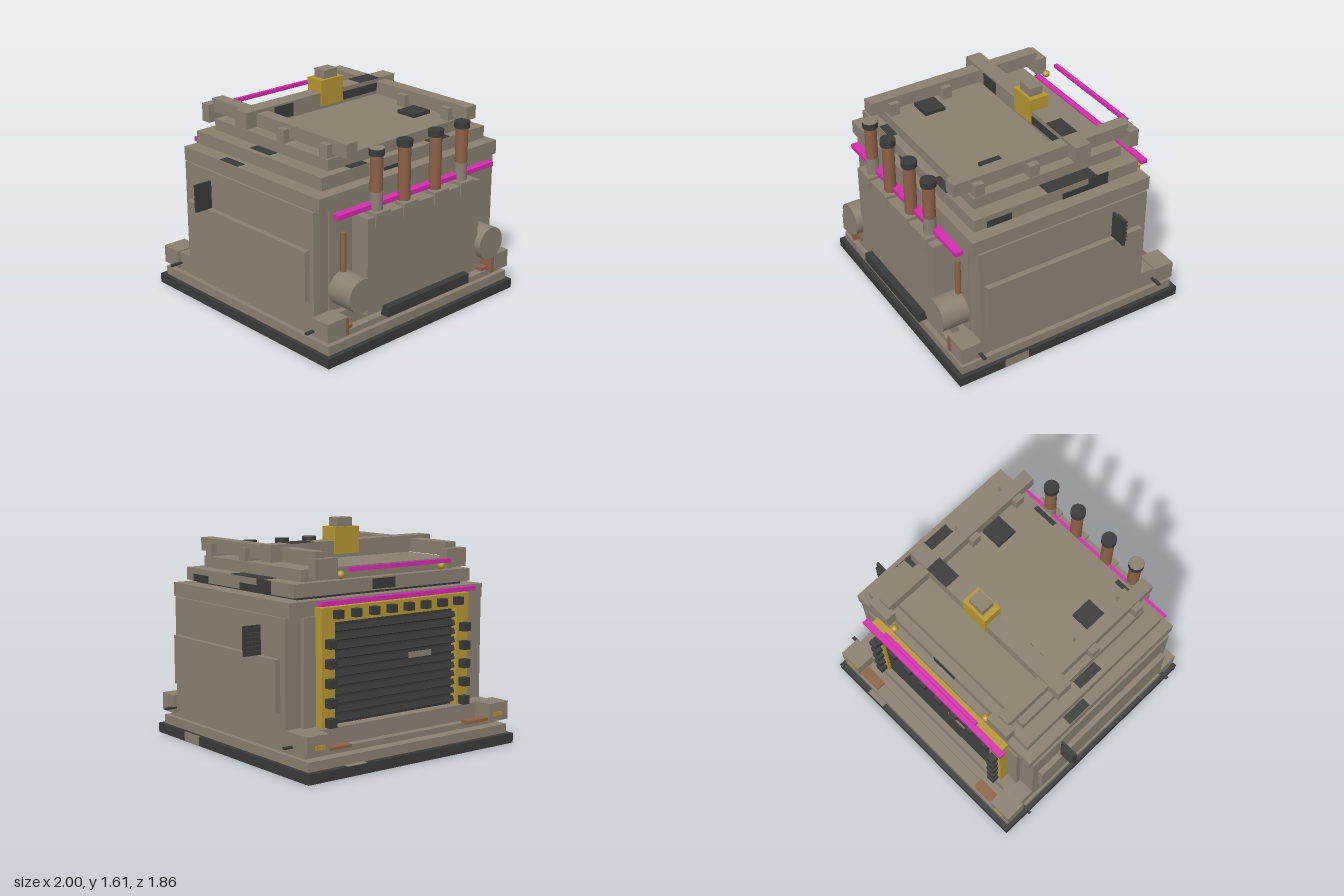
import * as THREE from 'three';

const mat = (name, color) => {
  const m = new THREE.MeshStandardMaterial({ color });
  m.name = name;
  return m;
};

export function createModel() {
  const model = new THREE.Group();
  model.name = 'engineBlock';
  const stone = mat('warmGrey', 0x8a8071);
  const dark = mat('charcoal', 0x3a3a3a);
  const gold = mat('brass', 0xb59632);
  const copper = mat('copper', 0x8c6046);
  const pink = mat('magenta', 0xd42cae);

  const add = (name, geo, material, x, y, z) => {
    const mesh = new THREE.Mesh(geo, material);
    mesh.name = name;
    mesh.position.set(x, y, z);
    model.add(mesh);
    return mesh;
  };
  // box from its minimum and maximum on each axis
  const box = (name, m, x0, x1, y0, y1, z0, z1) =>
    add(name, new THREE.BoxGeometry(x1 - x0, y1 - y0, z1 - z0), m, (x0 + x1) / 2, (y0 + y1) / 2, (z0 + z1) / 2);
  const cyl = (name, m, r, h, x, y, z) =>
    add(name, new THREE.CylinderGeometry(r, r, h, 24), m, x, y, z);
  // mirrored pair of boxes on both sides
  const pair = (name, m, x0, x1, ...rest) => {
    box(name + 'Left', m, x0, x1, ...rest);
    box(name + 'Right', m, -x1, -x0, ...rest);
  };

  // Stepped base
  box('baseSlab', dark, -0.91, 0.91, 0, 0.07, -0.93, 0.9);
  box('lowerStep', stone, -0.88, 0.88, 0.07, 0.135, -0.89, 0.865);
  box('upperStep', stone, -0.845, 0.845, 0.135, 0.175, -0.81, 0.83);
  box('skirt', stone, -0.865, 0.865, 0.175, 0.29, -0.75, 0.77);

  // Body with side, front and back panels
  box('body', stone, -0.865, 0.865, 0.29, 1.02, -0.625, 0.71);
  box('frontPanel', stone, -0.74, 0.74, 0.29, 1.02, 0.71, 0.725);
  box('backPanel', stone, -0.74, 0.74, 0.29, 1.02, -0.66, -0.625);
  pair('sidePanel', stone, 0.865, 0.905, 0.4, 0.75, -0.57, 0.67);

  // Stepped roof
  box('cornice', stone, -0.85, 0.85, 1.02, 1.12, -0.65, 0.75);
  box('roofGap', dark, -0.72, 0.72, 1.12, 1.14, -0.56, 0.65);
  box('roofTier', stone, -0.775, 0.775, 1.14, 1.23, -0.6, 0.695);
  box('roofTop', stone, -0.665, 0.665, 1.23, 1.31, -0.53, 0.63);
  pair('roofHatch', dark, 0.355, 0.52, 1.31, 1.335, 0.25, 0.41);

  // Roof rails, lugs and crossbeam
  pair('roofRail', stone, 0.52, 0.615, 1.335, 1.43, -0.62, 0.75);
  pair('railEnd', stone, 0.48, 0.66, 1.26, 1.39, -0.68, -0.605);
  for (const z of [0.58, 0.16]) pair('railLug', stone, 0.48, 0.66, 1.31, 1.4, z - 0.037, z + 0.037);
  box('crossbeam', stone, -0.71, 0.705, 1.335, 1.452, -0.25, -0.13);
  box('crownBox', gold, -0.035, 0.175, 1.36, 1.545, -0.262, -0.118);
  box('crownCap', stone, 0.008, 0.135, 1.545, 1.607, -0.24, -0.14);

  // Front firebox, bumper, drums and pipes
  box('firebox', stone, -0.54, 0.54, 0.25, 0.935, 0.72, 0.875);
  box('frontBumper', dark, -0.4, 0.4, 0.21, 0.28, 0.865, 0.93);
  for (const s of [-1, 1]) {
    cyl('drum', stone, 0.12, 0.205, s * 0.63, 0.44, 0.823).rotation.x = Math.PI / 2;
    cyl('drumPipe', copper, 0.021, 0.3, s * 0.63, 0.685, 0.74);
  }

  // Chimney stacks
  for (const x of [-0.41, -0.152, 0.145, 0.405]) {
    box('stackBracket', stone, x - 0.067, x + 0.067, 0.865, 0.958, 0.745, 0.885);
    cyl('stack', copper, 0.043, 0.42, x, 1.14, 0.815);
    cyl('stackCap', dark, 0.054, 0.045, x, 1.355, 0.815);
  }
  cyl('capTop', stone, 0.052, 0.005, -0.41, 1.379, 0.815);
  for (const x of [-0.41, 0.405])
    cyl('stackSleeve', stone, 0.0445, 0.13, x, 1.02, 0.815);

  // Coloured rails
  box('frontRail', pink, -0.745, 0.745, 0.967, 1.0, 0.761, 0.818);
  box('backRail', pink, -0.68, 0.675, 1.094, 1.125, -0.76, -0.713);
  box('upperBackRail', pink, -0.445, 0.44, 1.305, 1.333, -0.757, -0.73);
  for (const x of [-0.445, 0.44])
    add('railKnob', new THREE.SphereGeometry(0.027, 16, 12), gold, x, 1.275, -0.66);

  // Rear grille with frame and studs
  pair('framePost', gold, 0.54, 0.645, 0.29, 0.98, -0.727, -0.66);
  box('frameTop', gold, -0.645, 0.645, 0.98, 1.08, -0.727, -0.65);
  box('grilleBack', dark, -0.54, 0.54, 0.29, 0.98, -0.67, -0.66);
  for (let i = 0; i < 11; i++) {
    const slat = box('grilleSlat', dark, -0.54, 0.54, 0.31 + i * 0.06, 0.35 + i * 0.06, -0.705, -0.67);
    slat.rotation.x = 0.35;
  }
  box('slatPatch', stone, -0.31, -0.11, 0.67, 0.71, -0.716, -0.709);
  for (let i = 0; i < 5; i++) {
    const y = 0.325 + i * 0.13;
    pair('postStud', dark, 0.562, 0.622, y - 0.03, y + 0.03, -0.782, -0.727);
  }
  for (let i = 0; i < 8; i++) {
    const x = -0.53 + i * 0.151;
    box('topStud', dark, x - 0.03, x + 0.03, 1.005, 1.06, -0.773, -0.727);
  }

  // Louvred side fins
  pair('sideFin', dark, 0.865, 1.0, 0.75, 0.95, -0.355, -0.338);
  for (let i = 0; i < 6; i++) {
    const y = 0.77 + i * 0.03;
    pair('finLouvre', dark, 0.885, 0.985, y, y + 0.015, -0.378, -0.355);
  }

  // Corner feet with plates and rods
  pair('frontFoot', stone, 0.71, 0.89, 0.17, 0.3, 0.72, 0.87);
  pair('backFoot', stone, 0.71, 0.89, 0.17, 0.3, -0.892, -0.735);
  pair('frontFootPlate', copper, 0.705, 0.735, 0.17, 0.295, 0.72, 0.875);
  pair('frontFootTab', copper, 0.64, 0.71, 0.19, 0.215, 0.79, 0.84);
  pair('backFootTab', copper, 0.52, 0.71, 0.18, 0.2, -0.88, -0.805);
  pair('footBadge', gold, 0.75, 0.83, 0.205, 0.235, -0.897, -0.891);
  for (const z of [0.73, -0.73]) pair('footRod', dark, 0.57, 0.955, 0.2, 0.214, z - 0.012, z + 0.012);

  // Dark worn patches on the roof
  const patch = (...b) => box('wornPatch', dark, ...b);
  patch(-0.52, -0.37, 1.227, 1.234, 0.632, 0.692);
  patch(0.23, 0.42, 1.227, 1.234, 0.632, 0.692);
  patch(0.668, 0.772, 1.227, 1.234, -0.26, 0.13);
  patch(-0.74, -0.67, 1.227, 1.234, -0.06, 0.14);
  patch(-0.845, -0.778, 1.116, 1.123, -0.26, -0.07);
  patch(0.35, 0.54, 1.449, 1.456, -0.25, -0.13);
  patch(0.17, 0.54, 1.36, 1.42, -0.132, -0.126);
  patch(-0.46, -0.29, 1.345, 1.44, -0.132, -0.126);
  patch(-0.22, -0.05, 1.142, 1.165, 0.692, 0.699);
  patch(0.772, 0.779, 1.14, 1.19, 0.41, 0.6);
  patch(0.772, 0.779, 1.14, 1.185, -0.35, 0.015);
  patch(0.772, 0.779, 1.185, 1.23, -0.35, -0.19);
  patch(-0.08, 0.12, 1.15, 1.22, -0.604, -0.597);

  // Pale patches on the base
  const chip = (...b) => box('paleChip', stone, ...b);
  chip(0.905, 0.912, 0, 0.07, 0.35, 0.54);
  chip(0.43, 0.59, 0.066, 0.073, -0.93, -0.89);
  for (const [x, z] of [[0.55, -0.55], [-0.5, -0.4], [-0.75, 0.3], [-0.8, -0.1], [-0.5, 0.1]])
    chip(x - 0.06, x + 0.06, 0, 0.004, z - 0.05, z + 0.05).position.y = 0.001;

  return model;
}
